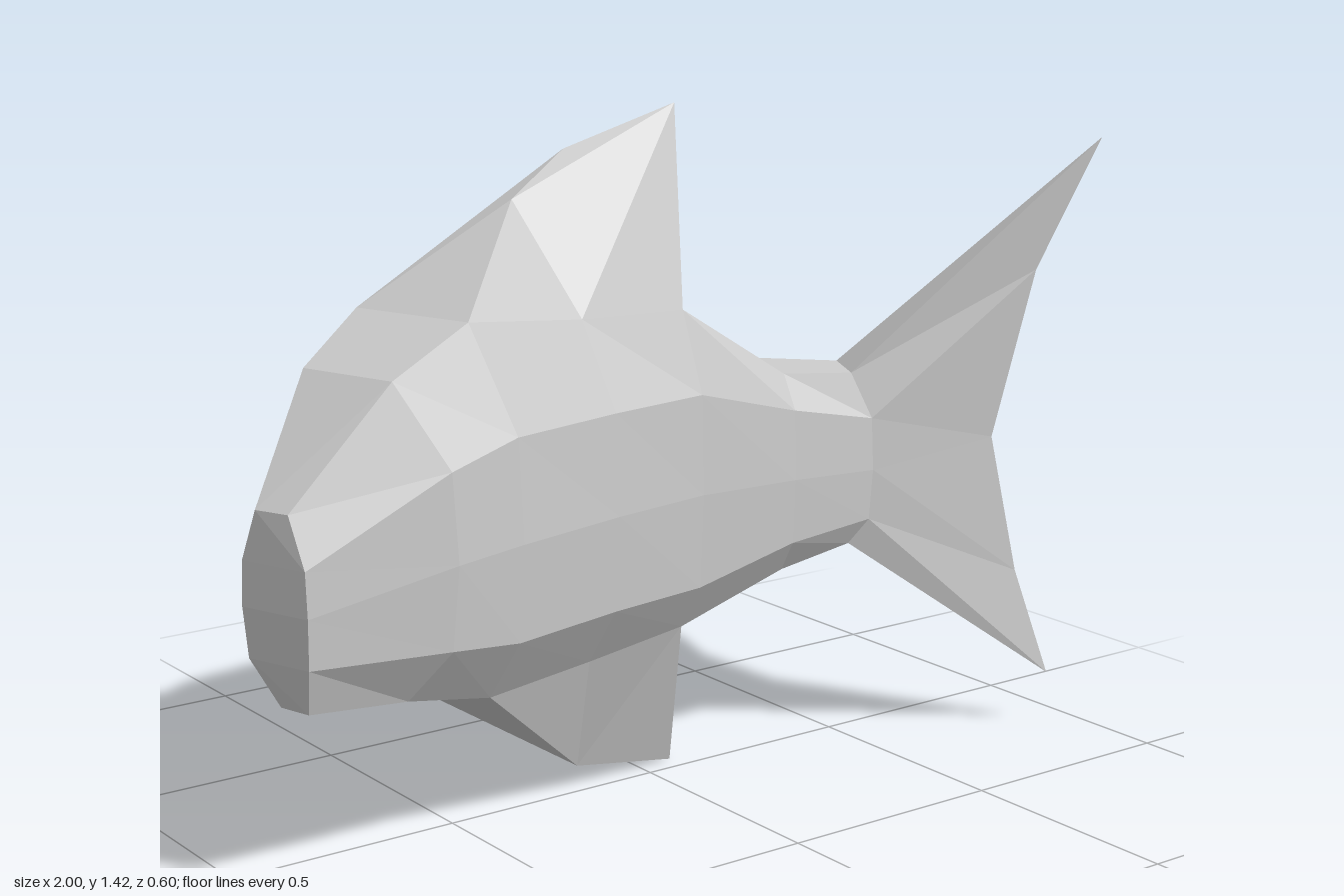
import * as THREE from 'three';

const material = new THREE.MeshStandardMaterial({ color: 0xcccccc, flatShading: true });

// Stations from snout to tail root: row heights, then [x, z] of the
// top edge, side and bottom edge on the front flank and on the back flank.
const STATIONS = [
  { y: [0.76, 0.66, 0.57, 0.47, 0.375], front: [[-0.955, 0.19], [-0.945, 0.235], [-0.93, 0.2]], back: [[-0.985, 0.12], [-1, 0.085], [-0.95, 0.13]] },
  { y: [0.98, 0.81, 0.63, 0.46, 0.355], front: [[-0.73, 0.19], [-0.64, 0.27], [-0.71, 0.19]], back: [[-0.8, -0.02], [-0.79, -0.12], [-0.76, -0.01]] },
  { y: [1.065, 0.85, 0.64, 0.44, 0.31], front: [[-0.54, 0.155], [-0.48, 0.248], [-0.5, 0.15]], back: [[-0.63, -0.11], [-0.64, -0.22], [-0.59, -0.1]] },
  { y: [1.03, 0.85, 0.64, 0.44, 0.315], front: [[-0.24, 0.1], [-0.21, 0.185], [-0.22, 0.09]], back: [[-0.25, -0.19], [-0.26, -0.3], [-0.23, -0.18]] },
  { y: [1.02, 0.85, 0.64, 0.44, 0.34], front: [[0.02, 0.085], [0.03, 0.145], [0.03, 0.07]], back: [[0.04, -0.2], [0.07, -0.285], [0.045, -0.185]] },
  { y: [0.85, 0.78, 0.63, 0.49, 0.42], front: [[0.3, 0.07], [0.29, 0.125], [0.3, 0.07]], back: [[0.35, -0.11], [0.375, -0.165], [0.35, -0.11]] },
  { y: [0.835, 0.735, 0.62, 0.51, 0.455], front: [[0.47, 0.09], [0.51, 0.122], [0.47, 0.09]], back: [[0.53, -0.03], [0.59, -0.015], [0.53, -0.03]] },
];
const BULGE = [0, 0.91, 1, 0.86, 0]; // how far each row reaches from edge to side

// Five points down one flank of a station
function flank(y, [top, side, bottom]) {
  return y.map((h, r) => {
    const edge = r < 2 ? top : bottom;
    const mix = (k) => edge[k] + (side[k] - edge[k]) * BULGE[r];
    return [mix(0), h, mix(1)];
  });
}

// Flat-shaded mesh from polygons (each a fan of corners, counter-clockwise)
function facetMesh(name, polygons) {
  const pos = [];
  for (const p of polygons) {
    for (let i = 1; i < p.length - 1; i++) {
      const tri = [p[0], p[i], p[i + 1]];
      if (new Set(tri).size === 3) pos.push(...tri.flat());
    }
  }
  const geometry = new THREE.BufferGeometry();
  geometry.setAttribute('position', new THREE.Float32BufferAttribute(pos, 3));
  geometry.computeVertexNormals();
  const mesh = new THREE.Mesh(geometry, material);
  mesh.name = name;
  return mesh;
}

// Faces between two ten-point rings, leaving out the listed strips
function bridge(a, b, skip = []) {
  return a.map((_, j) => j).filter((j) => !skip.includes(j)).map((j) => {
    const k = (j + 1) % a.length;
    return [a[j], a[k], b[k], b[j]];
  });
}

// Fin rising from the body edges f (front) and b (back) of three stations
// to a ridge p1, p2 and a tip; flip mirrors the winding for the underside.
function finMesh(name, f, b, [p1, p2, tip], flip) {
  const faces = [
    [f[0], f[1], p1], [f[1], f[2], tip, p1],
    [b[1], b[0], p2], [b[2], b[1], p2, tip],
    [f[0], p1, b[0]], [b[0], p1, p2], [p1, tip, p2],
    [f[2], b[2], tip],
  ];
  return facetMesh(name, flip ? faces.map((p) => [...p].reverse()) : faces);
}

export function createModel() {
  const group = new THREE.Group();
  group.name = 'fish';
  const front = STATIONS.map((s) => flank(s.y, s.front));
  const back = STATIONS.map((s) => flank(s.y, s.back));
  const rings = front.map((f, i) => [...f, ...[...back[i]].reverse()]);

  // Body, open where the two fins grow out of it
  const body = [];
  for (let i = 0; i < rings.length - 1; i++) {
    body.push(...bridge(rings[i], rings[i + 1], i === 2 || i === 3 ? [4, 9] : []));
  }
  // Snout cap
  for (let r = 0; r < 4; r++) body.push([back[0][r], back[0][r + 1], front[0][r + 1], front[0][r]]);
  group.add(facetMesh('body', body));

  // Tail: both flanks taper to one forked edge
  const fork = [[0.995, 1.325, 0.295], [0.87, 1.04, 0.235], [0.79, 0.67, 0.195], [0.85, 0.36, 0.22], [0.915, 0.12, 0.265]];
  group.add(facetMesh('tailFin', bridge(rings[6], [...fork, ...[...fork].reverse()])));

  // Top and bottom fins
  const row = (side, r) => [2, 3, 4].map((i) => side[i][r]);
  group.add(finMesh('topFin', row(front, 0), row(back, 0),
    [[-0.315, 1.26, -0.035], [-0.16, 1.345, -0.08], [0.1, 1.425, -0.053]], false));
  group.add(finMesh('bottomFin', row(front, 4), row(back, 4),
    [[-0.18, 0.05, -0.015], [-0.12, 0.025, -0.07], [0.085, 0, -0.045]], true));
  return group;
}
